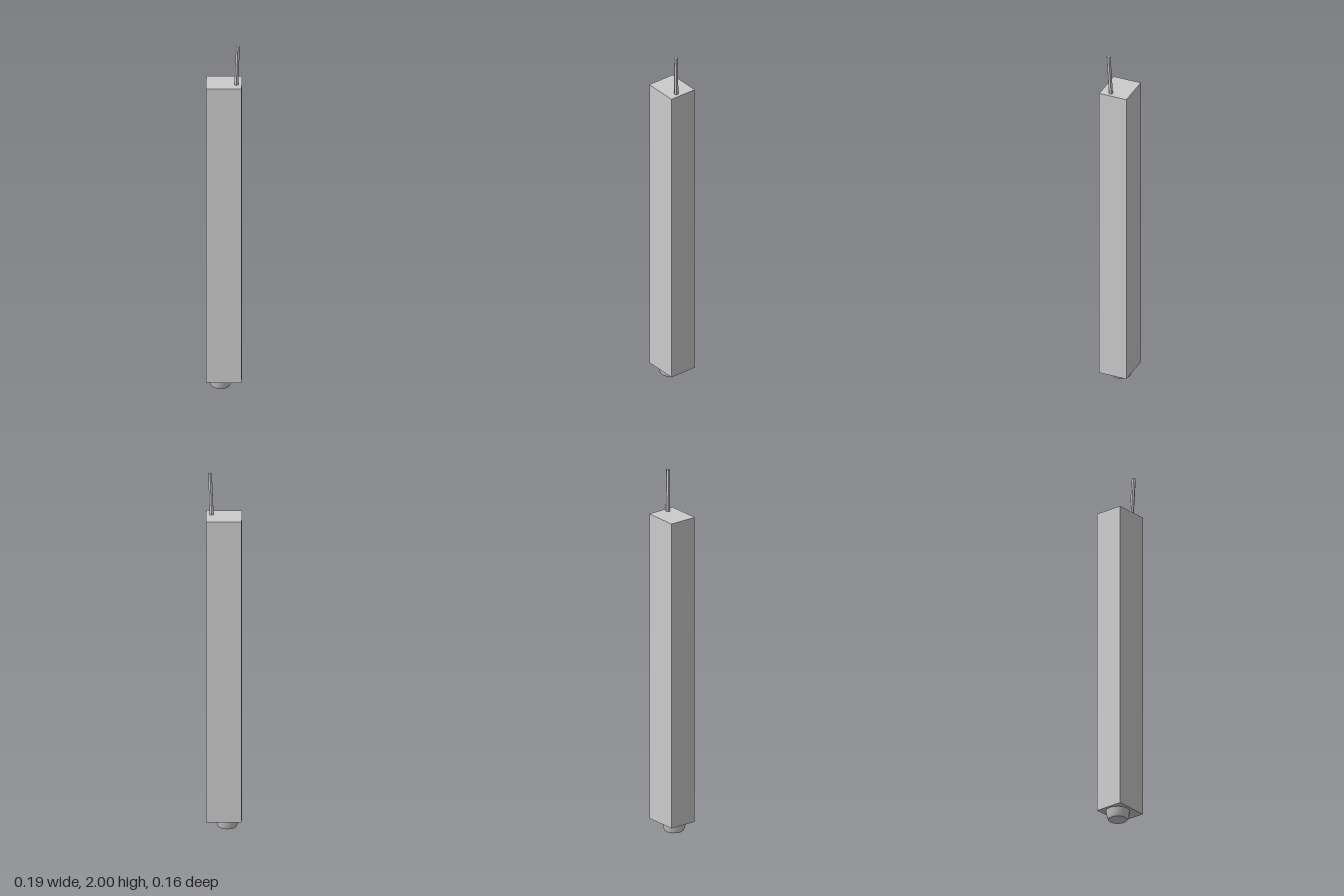
import * as THREE from 'three';

export function createModel() {
  const model = new THREE.Group();
  const material = new THREE.MeshStandardMaterial({ color: 0xcccccc, flatShading: true });
  const smooth = new THREE.MeshStandardMaterial({ color: 0xcccccc });

  const add = (name, geometry, mat = material) => {
    const mesh = new THREE.Mesh(geometry, mat);
    mesh.name = name;
    model.add(mesh);
    return mesh;
  };

  // Tall rectangular body
  add('body', new THREE.BoxGeometry(0.188, 1.72, 0.156)).position.y = 0.91;

  // Short tapered plug under the body, slightly off centre
  const plug = new THREE.LatheGeometry([
    [0, 0], [0.05, 0], [0.05, 0], [0.057, 0.015], [0.063, 0.05], [0.063, 0.05], [0, 0.05],
  ].map(([r, y]) => new THREE.Vector2(r, y)), 16);
  add('bottomPlug', plug, smooth).position.set(-0.018, 0, 0);

  // Thin leaning stem near one corner of the top
  const base = new THREE.Vector3(0.065, 1.76, 0.023);
  const tip = new THREE.Vector3(0.074, 2, 0.033);
  const axis = tip.clone().sub(base);
  const stem = add('stem', new THREE.CylinderGeometry(0.011, 0.012, axis.length(), 6));
  stem.position.copy(base).add(tip).multiplyScalar(0.5);
  stem.quaternion.setFromUnitVectors(new THREE.Vector3(0, 1, 0), axis.normalize());

  return model;
}
